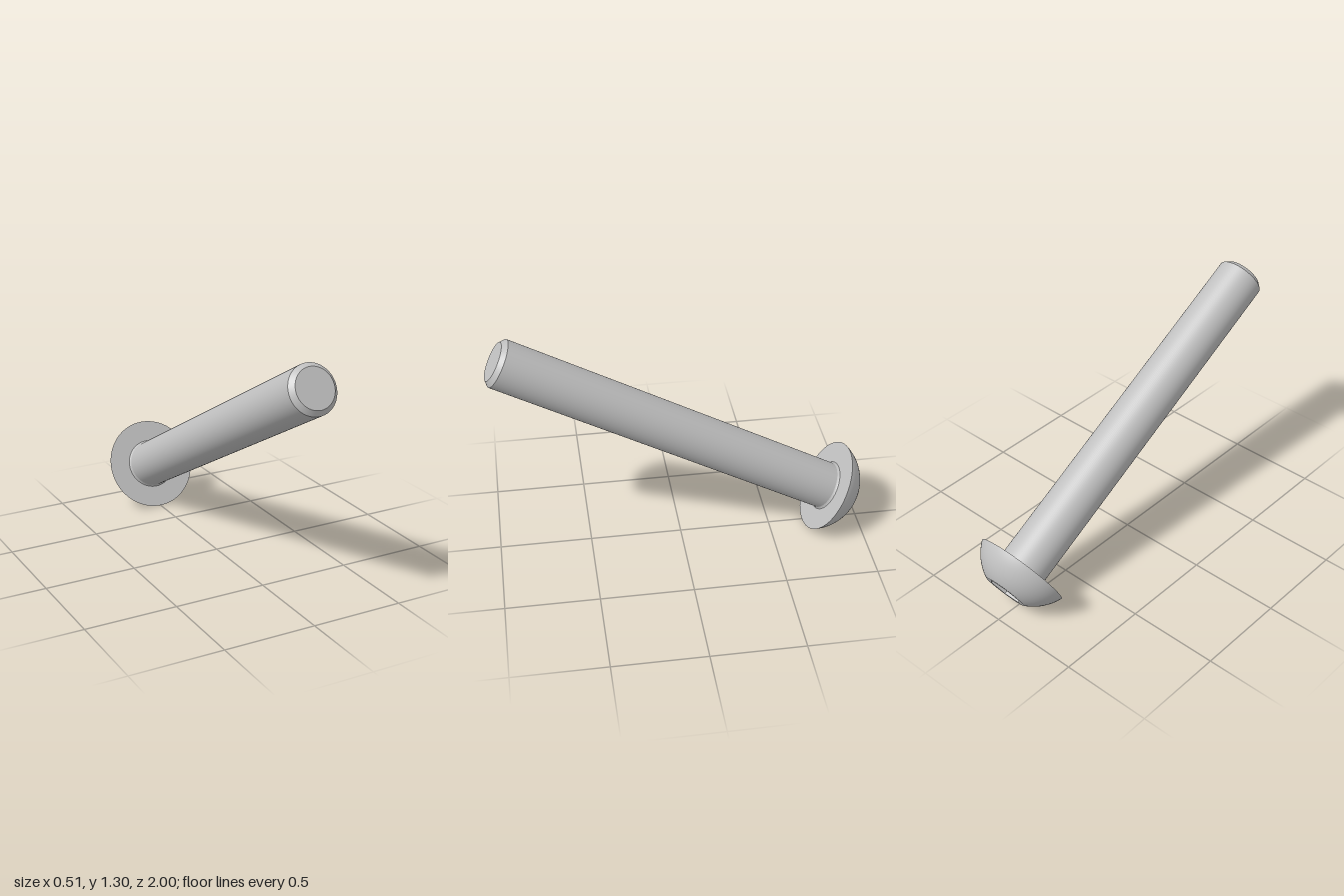
import * as THREE from 'three';

const HEAD_R = 0.255, HEAD_H = 0.144, FLAT_R = 0.12;
const SHAFT_R = 0.13, TIP_R = 0.105, LENGTH = 2.018, CHAMFER = 0.025;
const HEX_R = 0.1, HEX_DEPTH = 0.09;

export function createModel() {
  const steel = new THREE.MeshStandardMaterial({ color: 0xc0c0c0, side: THREE.DoubleSide });
  steel.name = 'steel grey';

  // The bolt is built along local y: head below 0, tip at the top.
  const bolt = new THREE.Group();
  bolt.name = 'bolt';

  const add = (name, geometry) => {
    const mesh = new THREE.Mesh(geometry, steel);
    mesh.name = name;
    bolt.add(mesh);
    return mesh;
  };
  const lathe = (name, points) =>
    add(name, new THREE.LatheGeometry(points.map(([r, y]) => new THREE.Vector2(r, y)), 96));

  // Domed head: spherical arc from the flat crown to the sharp rim
  const centre = (HEAD_R ** 2 - FLAT_R ** 2 - HEAD_H ** 2) / (2 * HEAD_H);
  const radius = Math.hypot(HEAD_R, centre);
  const a0 = Math.asin(FLAT_R / radius), a1 = Math.asin(HEAD_R / radius);
  const dome = [];
  for (let i = 0; i <= 20; i++) {
    const a = a0 + (a1 - a0) * i / 20;
    dome.push([radius * Math.sin(a), centre - radius * Math.cos(a)]);
  }
  lathe('headDome', dome);
  lathe('headUnderside', [[HEAD_R, 0], [SHAFT_R, 0]]);

  // Flat crown with a hexagonal opening
  const crown = new THREE.Shape().absarc(0, 0, FLAT_R, 0, Math.PI * 2);
  const hexPoints = [];
  for (let i = 0; i < 6; i++) {
    const a = i * Math.PI / 3;
    hexPoints.push(new THREE.Vector2(HEX_R * Math.cos(a), HEX_R * Math.sin(a)));
  }
  crown.holes.push(new THREE.Path(hexPoints));
  add('headCrown', new THREE.ShapeGeometry(crown, 48).rotateX(Math.PI / 2).translate(0, -HEAD_H, 0));

  // Hex socket: flat walls and floor
  const walls = new THREE.CylinderGeometry(HEX_R, HEX_R, HEX_DEPTH, 6, 1, true, Math.PI / 2).toNonIndexed();
  walls.computeVertexNormals();
  add('socketWalls', walls.translate(0, HEX_DEPTH / 2 - HEAD_H, 0));
  add('socketFloor', new THREE.ShapeGeometry(new THREE.Shape(hexPoints))
    .rotateX(Math.PI / 2).translate(0, HEX_DEPTH - HEAD_H, 0));

  // Shank with a small fillet under the head, then chamfer and end face
  lathe('shankFillet', [[SHAFT_R + 0.008, 0], [SHAFT_R + 0.003, 0.004], [SHAFT_R, 0.012]]);
  lathe('shank', [[SHAFT_R, 0.012], [SHAFT_R, LENGTH - CHAMFER]]);
  lathe('tipChamfer', [[SHAFT_R, LENGTH - CHAMFER], [TIP_R, LENGTH]]);
  lathe('tipFace', [[TIP_R, LENGTH], [0, LENGTH]]);

  // Lean the bolt so it rests on the head rim with its tip forward and up
  bolt.rotation.x = THREE.MathUtils.degToRad(61.05);
  bolt.position.set(0, 0.225, -0.816);

  const model = new THREE.Group();
  model.name = 'buttonHeadBolt';
  model.add(bolt);
  return model;
}
